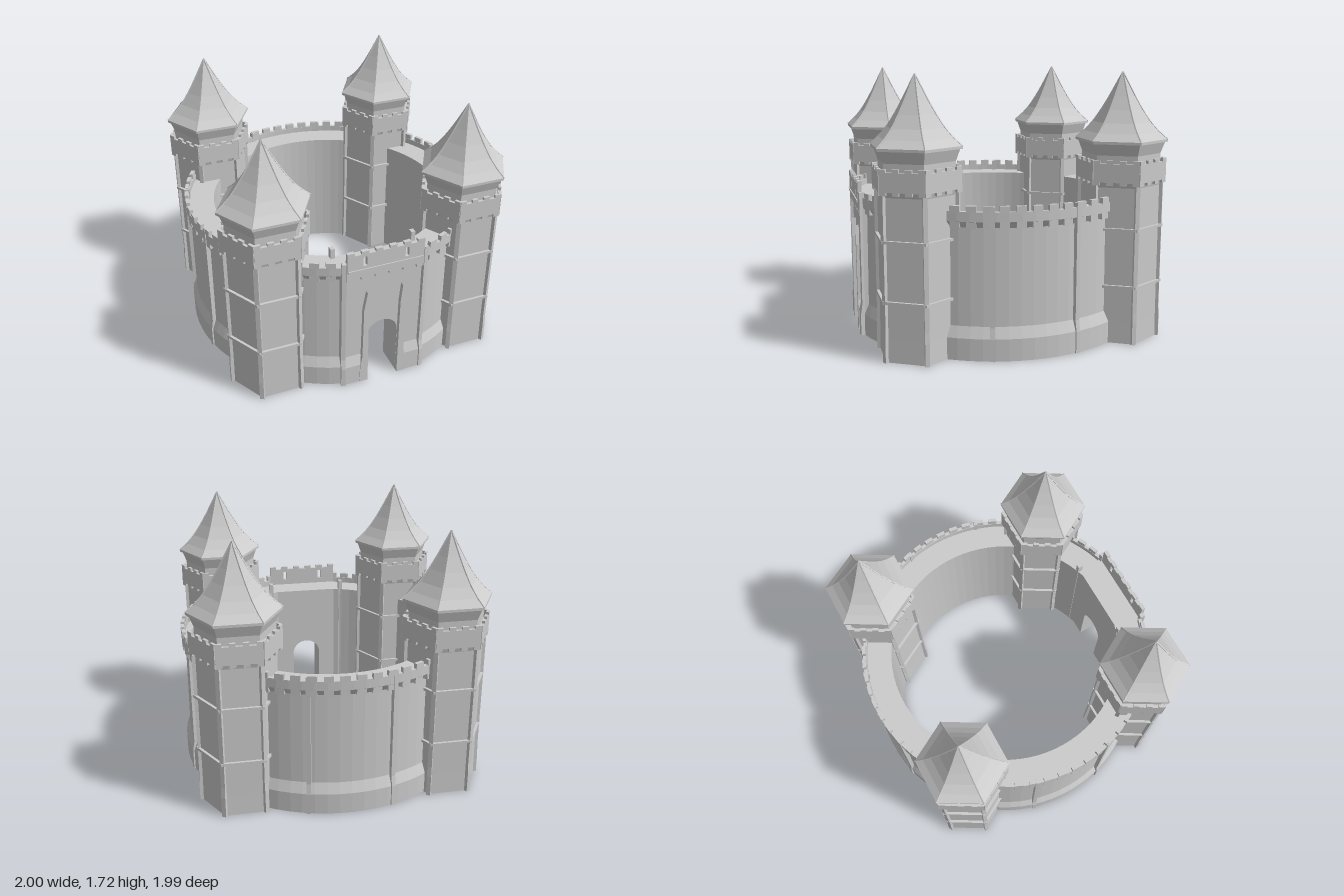
import * as THREE from 'three';

const grey = new THREE.MeshStandardMaterial({ color: 0xcccccc, flatShading: true, side: THREE.DoubleSide });
const V = (a) => a.map(([x, y]) => new THREE.Vector2(x, y));

function add(parent, name, geo, x = 0, y = 0, z = 0) {
  const m = new THREE.Mesh(geo, grey);
  m.name = name;
  m.position.set(x, y, z);
  parent.add(m);
  return m;
}

// hexagonal solid of revolution with corners on the x axis
const hex = (profile) => new THREE.LatheGeometry(V(profile), 6, Math.PI / 6);

// upright slab from an outline, extruded towards +z
const slab = (shape, depth) => new THREE.ExtrudeGeometry(shape, { depth, bevelEnabled: false, curveSegments: 16 });

// slab outline with merlons on top and corbel teeth underneath
function crenelShape(width, y0, y1, teeth, tooth) {
  const pts = [], n = teeth * 2 - 1, s = width / n;
  for (let i = 0; i < n; i++) {
    const y = i % 2 ? y0 + tooth : y0;
    pts.push([-width / 2 + i * s, y], [-width / 2 + (i + 1) * s, y]);
  }
  for (let i = n - 1; i >= 0; i--) {
    const y = i % 2 ? y1 - tooth : y1;
    pts.push([-width / 2 + (i + 1) * s, y], [-width / 2 + i * s, y]);
  }
  return new THREE.Shape(V(pts));
}

// slim post with a thicker, sloping foot, facing +z; origin on the ground
function post(parent, name, x, z, turn, height, foot) {
  const side = new THREE.Shape(V([[-0.02, 0], [0.015 + foot, 0], [0.015 + foot, 0.14], [0.015, 0.21], [0.015, height], [-0.02, height]]));
  const g = slab(side, 0.028);
  g.translate(0, 0, -0.014);
  g.rotateY(-Math.PI / 2);
  add(parent, name, g, x, 0, z).rotation.y = turn;
}

function makeTower() {
  const t = new THREE.Group();
  t.name = 'tower';
  add(t, 'towerBody', hex([[0, 0], [0.262, 0], [0.26, 0.15], [0.258, 1.01], [0.277, 1.07], [0.277, 1.13], [0.25, 1.13], [0.25, 1.21], [0.278, 1.285], [0, 1.285]]));
  for (const y of [0.375, 0.745])
    add(t, 'towerBand', hex([[0.25, -0.009], [0.279, -0.009], [0.279, 0.009], [0.25, 0.009]]), 0, y);

  // roof with a thin eave and a rib along every edge
  const roof = [[0.293, 1.3], [0.24, 1.345], [0.185, 1.405], [0.13, 1.485], [0.08, 1.57], [0.04, 1.645], [0, 1.72]];
  add(t, 'roof', hex([[0, 1.283], [0.293, 1.283], ...roof]));

  const crown = slab(crenelShape(0.284, 1.025, 1.182, 4, 0.02), 0.018);
  for (let i = 0; i < 6; i++) {
    const a = i * Math.PI / 3;
    add(t, 'crownParapet', crown, Math.sin(a) * 0.233, 0, Math.cos(a) * 0.233).rotation.y = a;
    const c = a + Math.PI / 6, sx = Math.sin(c), cz = Math.cos(c);
    post(t, 'cornerPost', sx * 0.257, cz * 0.257, c, 1.03, 0.004);
    const path = new THREE.CatmullRomCurve3(roof.map(([r, y]) => new THREE.Vector3(sx * r, y - 0.002, cz * r)));
    add(t, 'roofRib', new THREE.TubeGeometry(path, 12, 0.006, 4));
  }
  return t;
}

function makeRingWall() {
  const w = new THREE.Group();
  w.name = 'ringWall';
  const start = 0.285;
  add(w, 'curvedWall', new THREE.LatheGeometry(V([[0.8, 0], [1, 0], [1, 0.14], [0.972, 0.21], [0.967, 0.82], [0.992, 0.86], [0.992, 0.92],
    [0.968, 0.92], [0.968, 0.88], [0.8, 0.88], [0.8, 0]]), 72, start, Math.PI * 2 - start * 2));

  // merlons on the parapet and corbels beneath it
  const count = 62, merlon = new THREE.BoxGeometry(0.06, 0.04, 0.025), corbel = new THREE.BoxGeometry(0.06, 0.04, 0.03);
  for (let i = 0; i < count; i++) {
    const a = (i + 0.5) / count * Math.PI * 2;
    if (Math.cos(a) > Math.cos(start + 0.03)) continue;
    add(w, 'merlon', merlon, Math.sin(a) * 0.982, 0.935, Math.cos(a) * 0.982).rotation.y = a;
    add(w, 'corbel', corbel, Math.sin(a) * 0.976, 0.84, Math.cos(a) * 0.976).rotation.y = a;
  }

  // pairs of buttress posts on the two sides and the back
  for (const q of [1, 2, 3])
    for (const s of [-1, 1]) {
      const a = q * Math.PI / 2 + s * 0.277;
      post(w, 'wallPost', Math.sin(a) * 0.982, Math.cos(a) * 0.982, a, 0.95, 0.012);
    }
  return w;
}

function makeGate() {
  const g = new THREE.Group();
  g.name = 'gatehouse';

  // flat wall block with an arched passage
  const wall = new THREE.Shape();
  wall.moveTo(0.105, 0);
  wall.lineTo(0.285, 0);
  wall.lineTo(0.285, 0.88);
  wall.lineTo(-0.285, 0.88);
  wall.lineTo(-0.285, 0);
  wall.lineTo(-0.105, 0);
  wall.lineTo(-0.105, 0.345);
  wall.absarc(0, 0.345, 0.105, Math.PI, 0, true);
  wall.lineTo(0.105, 0);
  add(g, 'gateWall', slab(wall, 0.185), 0, 0, 0.77);

  // raised parapet with two arrow slits
  const top = crenelShape(0.515, 0.82, 1.025, 6, 0.02);
  for (const x of [-0.14, 0.14])
    top.holes.push(new THREE.Path(V([[x - 0.012, 0.92], [x - 0.012, 0.985], [x + 0.012, 0.985], [x + 0.012, 0.92]])));
  add(g, 'gateParapet', slab(top, 0.026), 0, 0, 0.952);
  add(g, 'gateLedge', new THREE.BoxGeometry(0.5, 0.014, 0.012), 0, 0.893, 0.979);

  for (const s of [-1, 1]) {
    // pointed pilasters beside the arch
    const p = new THREE.Shape(V([[0.105, 0], [0.162, 0], [0.158, 0.13], [0.146, 0.2], [0.142, 0.58], [0.12, 0.71], [0.108, 0.58]].map(([x, y]) => [x * s, y])));
    add(g, 'gatePilaster', slab(p, 0.045), 0, 0, 0.94);

    // sloping plinth
    const plinth = slab(new THREE.Shape(V([[0.94, 0], [0.98, 0], [0.98, 0.14], [0.956, 0.21], [0.94, 0.21]])), 0.14);
    plinth.translate(0, 0, -0.07);
    plinth.rotateY(-Math.PI / 2);
    add(g, 'gatePlinth', plinth, s * 0.21);

    post(g, 'gatePost', s * 0.272, 0.96, s * 0.2, 0.955, 0.012);
    post(g, 'innerGatePost', s * 0.275, 0.767, Math.PI, 0.95, 0);
  }
  return g;
}

export function createModel() {
  const castle = new THREE.Group();
  castle.name = 'castle';
  castle.add(makeRingWall(), makeGate());
  for (const x of [-0.667, 0.667])
    for (const z of [-0.667, 0.667]) {
      const t = makeTower();
      t.position.set(x, 0, z);
      castle.add(t);
    }
  return castle;
}
